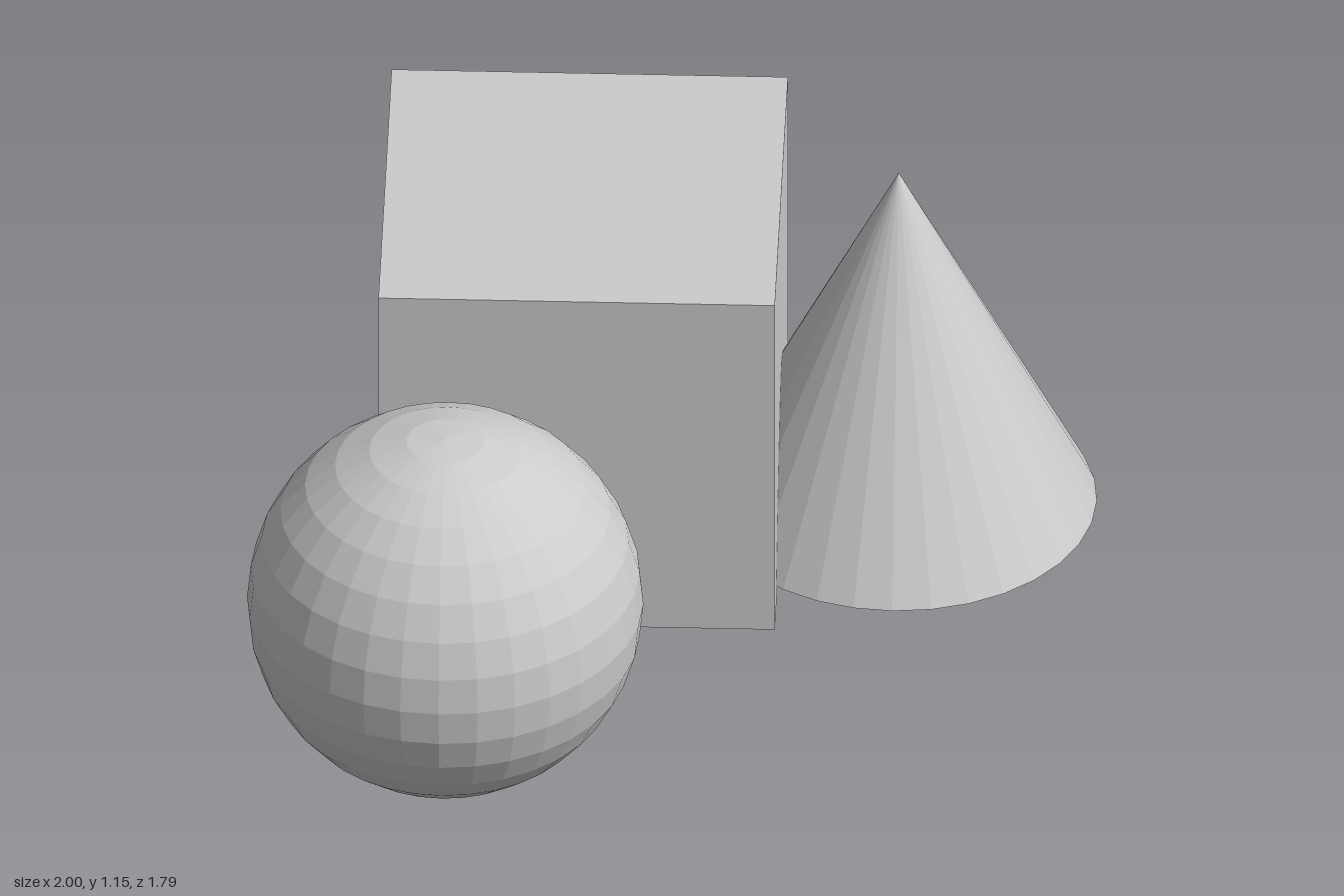
import * as THREE from 'three';

export function createModel() {
  const model = new THREE.Group();
  const grey = new THREE.MeshStandardMaterial({ color: 0xcccccc });
  grey.name = 'light grey';
  grey.flatShading = true;

  const size = 0.946; // shared width of all three solids
  const r = size / 2;

  const add = (name, geometry, x, y, z) => {
    const mesh = new THREE.Mesh(geometry, grey);
    mesh.name = name;
    mesh.position.set(x, y, z);
    model.add(mesh);
  };

  // Ball at the front, cube and cone overlapping at the back
  add('sphere', new THREE.SphereGeometry(r, 32, 16), -0.527, r, 0.424);
  add('cube', new THREE.BoxGeometry(size, size, size), -0.226, 0.614, -0.424);
  add('cone', new THREE.ConeGeometry(r, size, 32), 0.527, 0.675, -0.424);

  return model;
}
